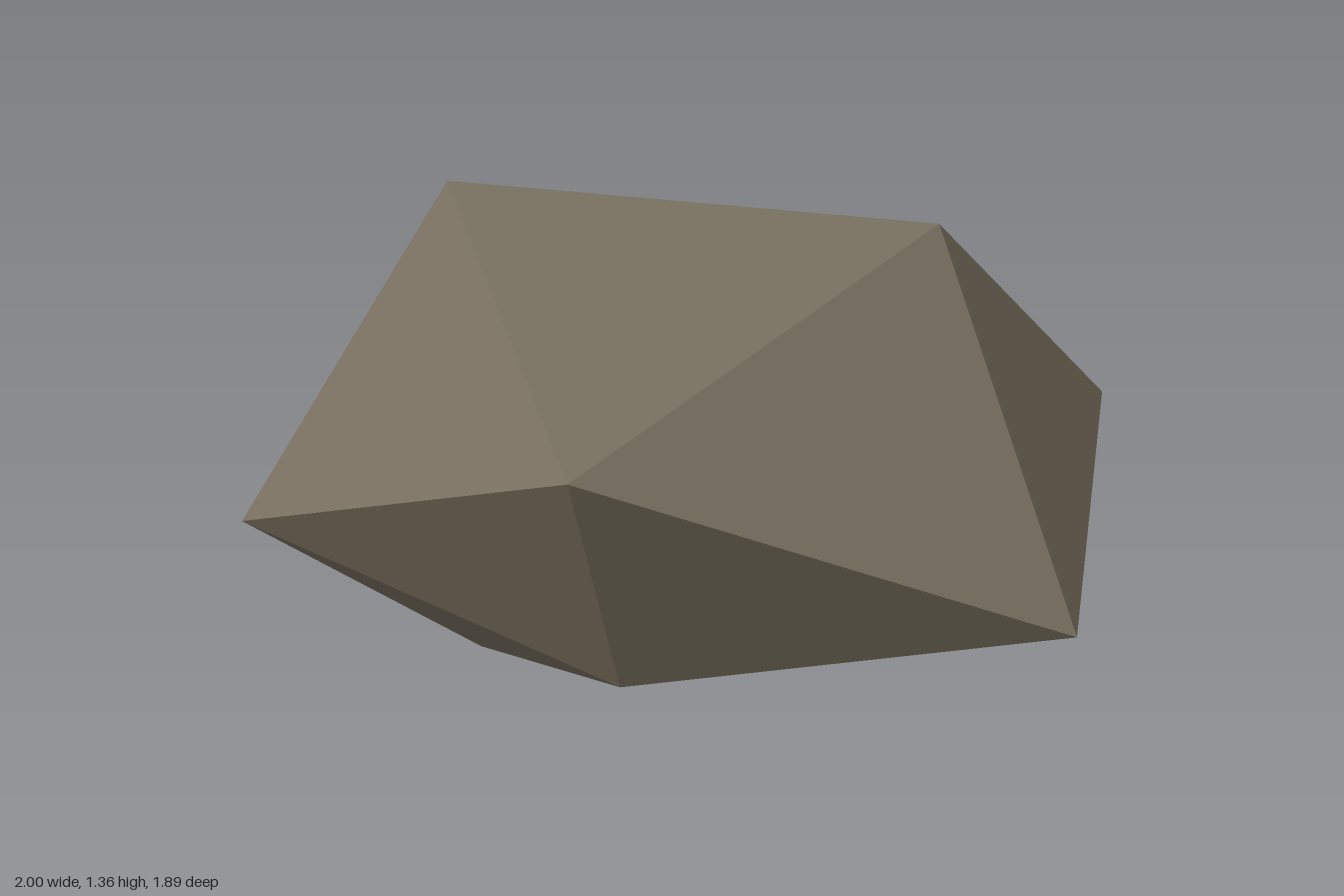
import * as THREE from 'three';

// Corners of a skewed icosahedron: three crossing rectangles pulled out of shape
const ridgeCorners = [[-0.65, 1.36, -0.07], [0.57, 1.36, -0.07], [-0.63, 0, -0.07], [0.415, 0.165, -0.07]];
const endCorners = [[-0.04, 0.39, 0.59], [-0.04, 1.12, 0.945], [-0.04, 0.3, -0.95], [-0.04, 0.945, -0.7]];
const sideCorners = [[0.965, 0.675, -0.69], [1, 0.675, 0.57], [-0.78, 0.675, -0.53], [-1, 0.675, 0.525]];

// Icosahedron triangles, counter-clockwise from outside
const faces = [
  0, 11, 5, 0, 5, 1, 0, 1, 7, 0, 7, 10, 0, 10, 11, // fan around the upper left corner
  1, 5, 9, 5, 11, 4, 11, 10, 2, 10, 7, 6, 7, 1, 8, // upper half of the belt
  3, 9, 4, 3, 4, 2, 3, 2, 6, 3, 6, 8, 3, 8, 9, // fan around the lower right corner
  4, 9, 5, 2, 4, 11, 6, 2, 10, 8, 6, 7, 9, 8, 1, // lower half of the belt
];

export function createModel() {
  const group = new THREE.Group();
  group.name = 'rock';

  const stone = new THREE.MeshStandardMaterial({ color: 0x756c5c });
  stone.name = 'stone';

  const corners = [...ridgeCorners, ...endCorners, ...sideCorners];
  const indexed = new THREE.BufferGeometry();
  indexed.setAttribute('position', new THREE.Float32BufferAttribute(corners.flat(), 3));
  indexed.setIndex(faces);

  // Separate the faces so each one is shaded flat
  const geometry = indexed.toNonIndexed();
  geometry.computeVertexNormals();

  const boulder = new THREE.Mesh(geometry, stone);
  boulder.name = 'boulder';
  group.add(boulder);
  return group;
}
